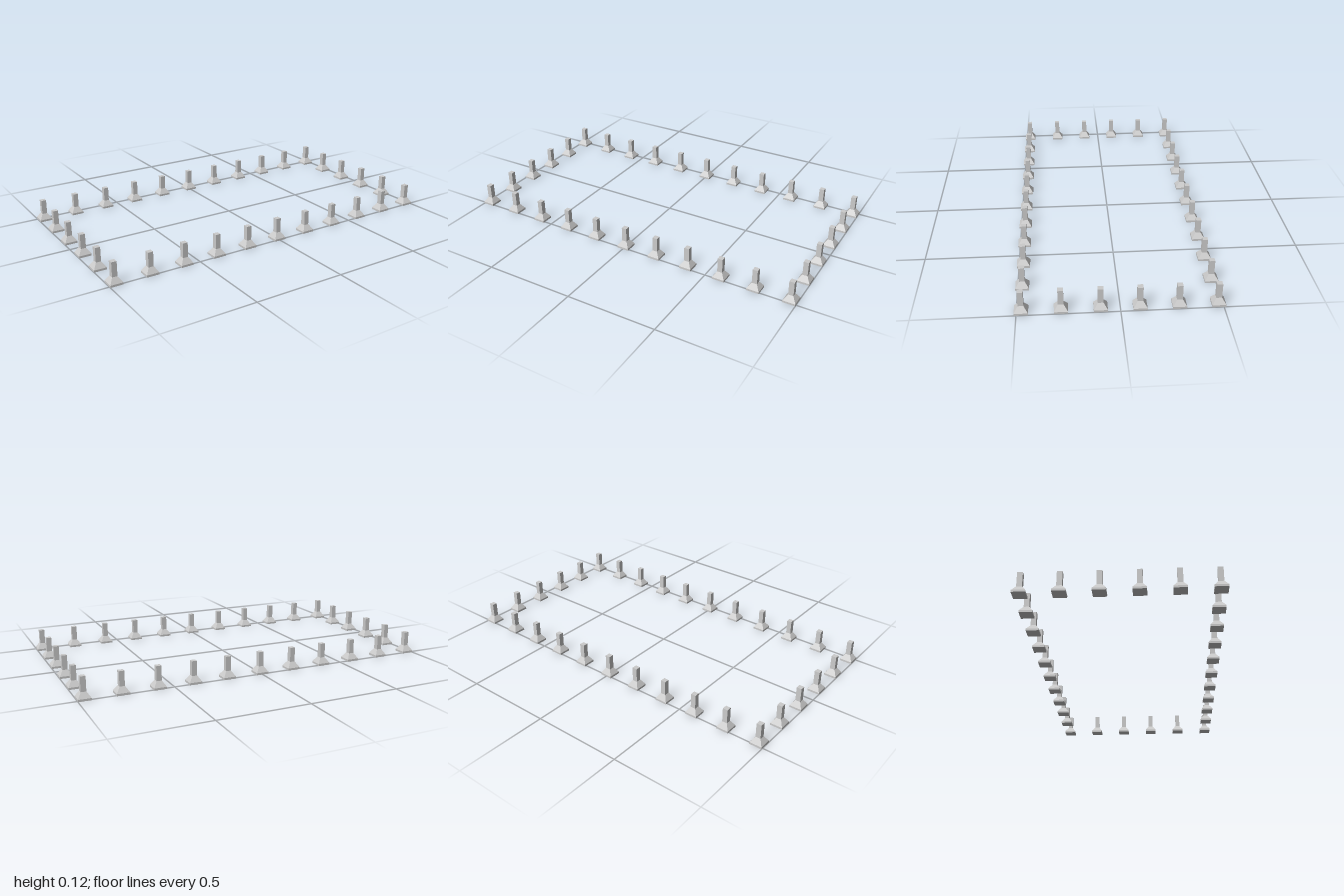
import * as THREE from 'three';

const COLS = 11, ROWS = 6;        // posts along x and along z
const X = 0.966, Z = 0.477;       // centres of the corner posts
const HALF_BASE = 0.034, HALF_POST = 0.014;

// Square-section solid: profile of [half width, height] turned in four sides
function squareTurned(profile) {
  const points = profile.map(([half, y]) => new THREE.Vector2(half * Math.SQRT2, y));
  return new THREE.LatheGeometry(points, 4, Math.PI / 4);
}

export function createModel() {
  const group = new THREE.Group();
  group.name = 'postRing';
  const material = new THREE.MeshStandardMaterial({ color: 0xcccccc, flatShading: true });

  // Thin square foot, sloping shoulder and slim upright with closed ends
  const geometry = squareTurned([
    [0, 0], [HALF_BASE, 0], [HALF_BASE, 0.011],
    [HALF_POST, 0.041], [HALF_POST, 0.12], [0, 0.12],
  ]);

  // Posts stand evenly around the edge of a rectangle
  for (let i = 0; i < COLS; i++) {
    for (let j = 0; j < ROWS; j++) {
      const onEdge = i === 0 || i === COLS - 1 || j === 0 || j === ROWS - 1;
      if (!onEdge) continue;
      const post = new THREE.Mesh(geometry, material);
      post.name = 'footedPost';
      post.position.set(-X + (2 * X * i) / (COLS - 1), 0, -Z + (2 * Z * j) / (ROWS - 1));
      group.add(post);
    }
  }
  return group;
}
